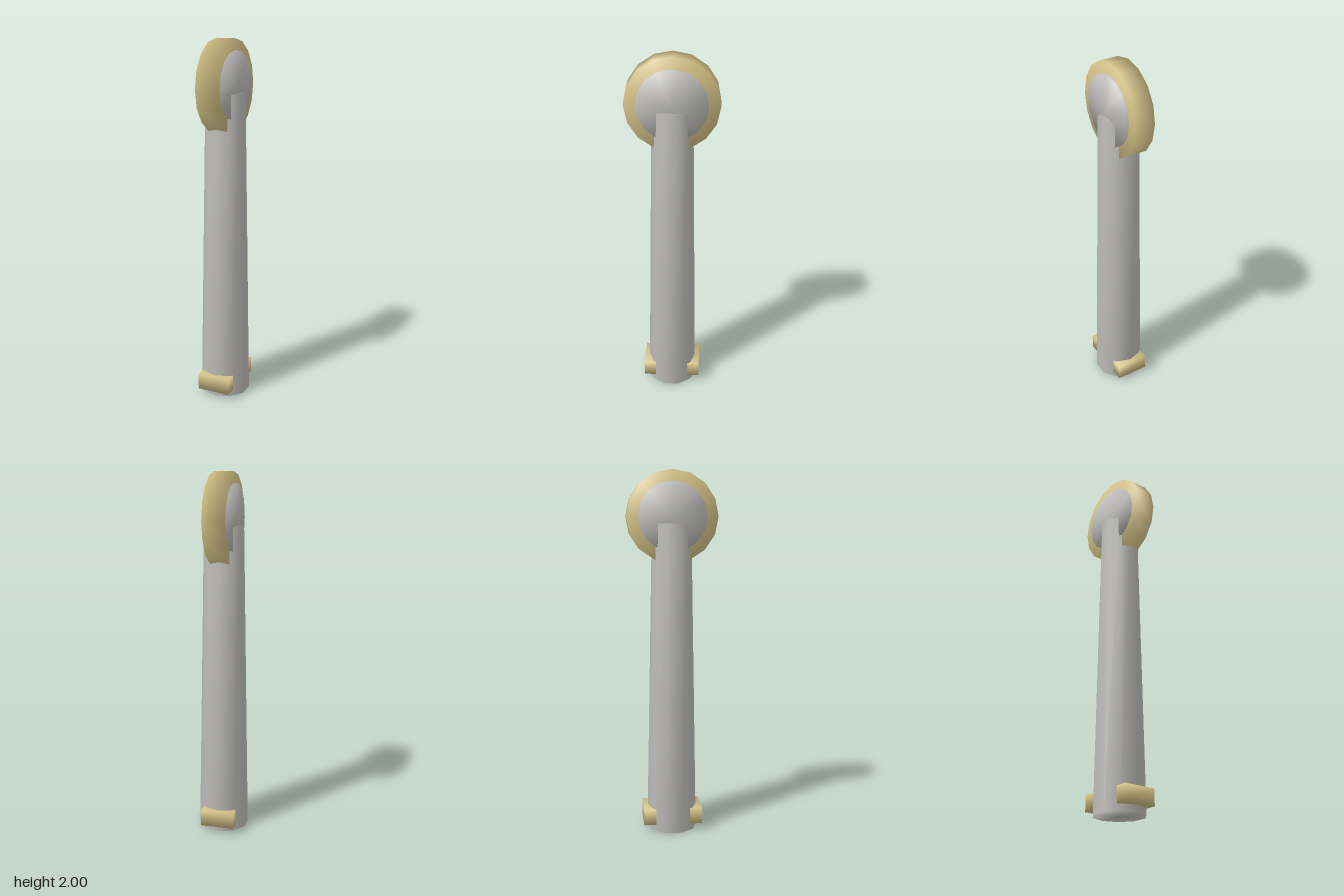
import * as THREE from 'three';
import { mergeVertices } from 'three/addons/utils/BufferGeometryUtils.js';

const silver = new THREE.MeshStandardMaterial({ name: 'silver', color: 0xbdbcba });
const gold = new THREE.MeshStandardMaterial({ name: 'gold', color: 0xd2c085 });

// Weld a primitive so shading runs softly over its edges
function soften(geometry) {
  geometry.deleteAttribute('normal');
  geometry.deleteAttribute('uv');
  const welded = mergeVertices(geometry, 1e-4);
  welded.computeVertexNormals();
  return welded;
}

function part(name, geometry, material, y) {
  const mesh = new THREE.Mesh(soften(geometry), material);
  mesh.name = name;
  mesh.position.y = y;
  return mesh;
}

// Sixteen-sided disc with its axis along x
function disc(radius, width) {
  return new THREE.CylinderGeometry(radius, radius, width, 16).rotateZ(Math.PI / 2);
}

export function createModel() {
  const group = new THREE.Group();
  group.name = 'postWithWheel';

  // Tapered ten-sided post
  const height = 1.715;
  group.add(part('post', new THREE.CylinderGeometry(0.108, 0.14, height, 10), silver, height / 2));

  // Crossbar through the foot, showing at front and back
  group.add(part('footBar', new THREE.BoxGeometry(0.187, 0.09, 0.327), gold, 0.081));

  // Wheel set into the top of the post: gold rim with a slightly wider hub
  const wheelY = 1.752;
  group.add(part('wheelRim', disc(0.248, 0.109), gold, wheelY));
  group.add(part('wheelHub', disc(0.187, 0.14), silver, wheelY));

  return group;
}
